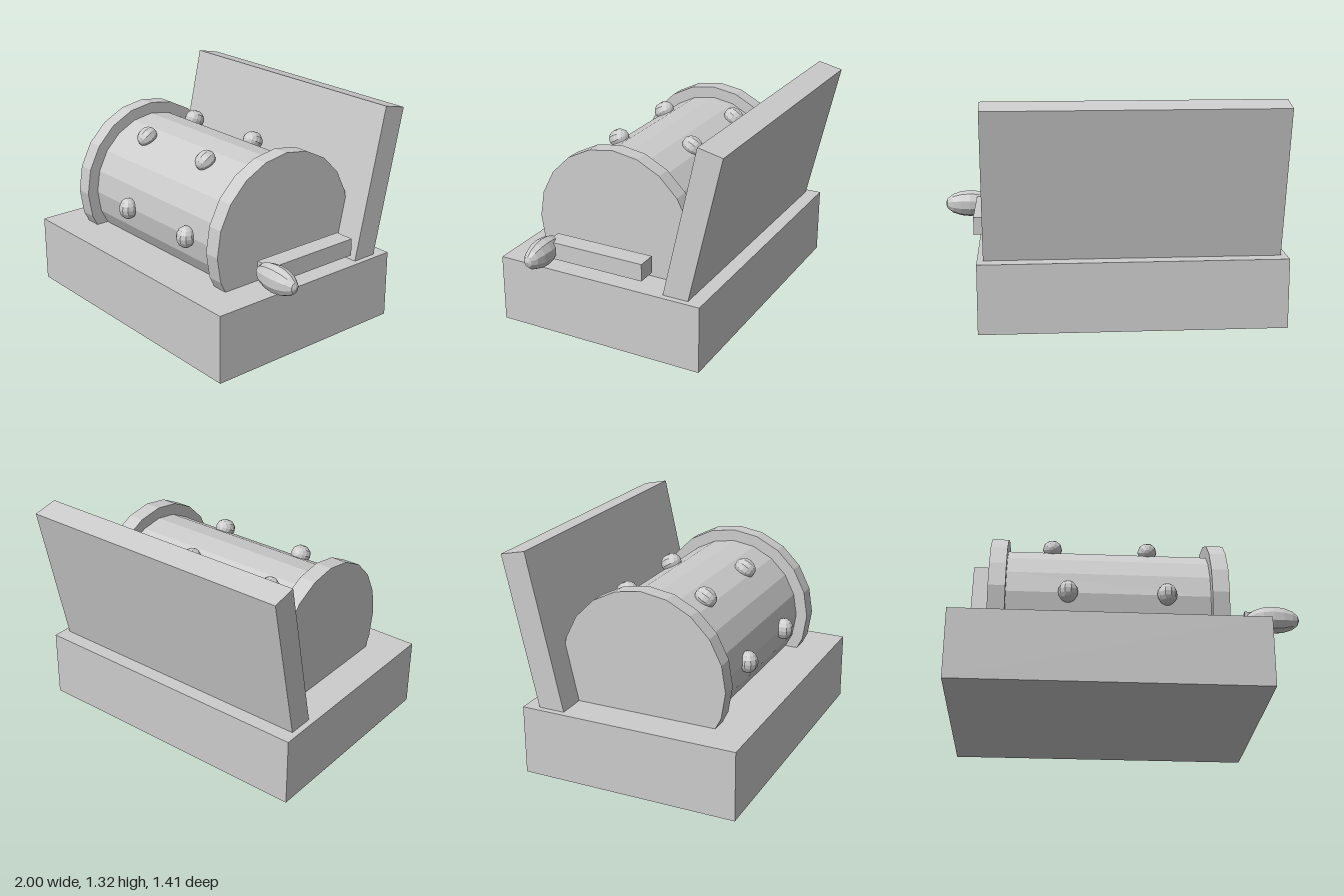
import * as THREE from 'three';

export function createModel() {
  const group = new THREE.Group();
  group.name = 'musicBox';
  const grey = new THREE.MeshStandardMaterial({ color: 0xcccccc, flatShading: true });
  grey.name = 'light grey';

  function add(name, geometry, x, y, z, parent = group) {
    const mesh = new THREE.Mesh(geometry, grey);
    mesh.name = name;
    mesh.position.set(x, y, z);
    parent.add(mesh);
    return mesh;
  }

  // Base block
  add('base', new THREE.BoxGeometry(1.775, 0.41, 1.3), -0.1125, 0.205, 0.055);

  // Open lid leaning back, its lower edge sunk in the base
  const lid = add('lid', new THREE.BoxGeometry(1.705, 1.05, 0.153), -0.1125, 0.791, -0.515);
  lid.rotation.x = -0.22;

  // Drum on a sideways axle, with a flange at each end
  const drum = new THREE.Group();
  drum.name = 'drumAssembly';
  drum.position.set(-0.1125, 0.63, 0.055);
  group.add(drum);
  const roller = (r, length) => new THREE.CylinderGeometry(r, r, length, 20).rotateZ(Math.PI / 2);
  add('drum', roller(0.43, 1.2), 0, 0, 0, drum);
  for (const side of [-1, 1]) {
    add(side < 0 ? 'rightFlange' : 'leftFlange', roller(0.5, 0.098), side * 0.634, 0, 0, drum);
  }

  // Pins in a spiral: six rows of two, stepping sideways every 60 degrees
  const pinGeometry = new THREE.SphereGeometry(1, 10, 8).scale(0.057, 0.065, 0.057);
  for (let row = 0; row < 6; row++) {
    const angle = row * Math.PI / 3;
    for (let i = 0; i < 2; i++) {
      const pin = add('pin', pinGeometry, -0.2325 - row * 0.095 + i * 0.565,
        0.445 * Math.sin(angle), 0.445 * Math.cos(angle), drum);
      // keep the hidden lower rows inside the drum's length
      if (pin.position.x < -0.55) pin.position.x += 1.13;
      pin.rotation.x = -angle;
    }
  }

  // Crank arm and its oval knob
  add('crankArm', new THREE.BoxGeometry(0.118, 0.103, 0.615), 0.742, 0.55, 0.055);
  const knob = new THREE.SphereGeometry(1, 10, 8).rotateZ(Math.PI / 2).scale(0.155, 0.084, 0.066);
  add('crankKnob', knob, 0.845, 0.55, 0.365);

  return group;
}
